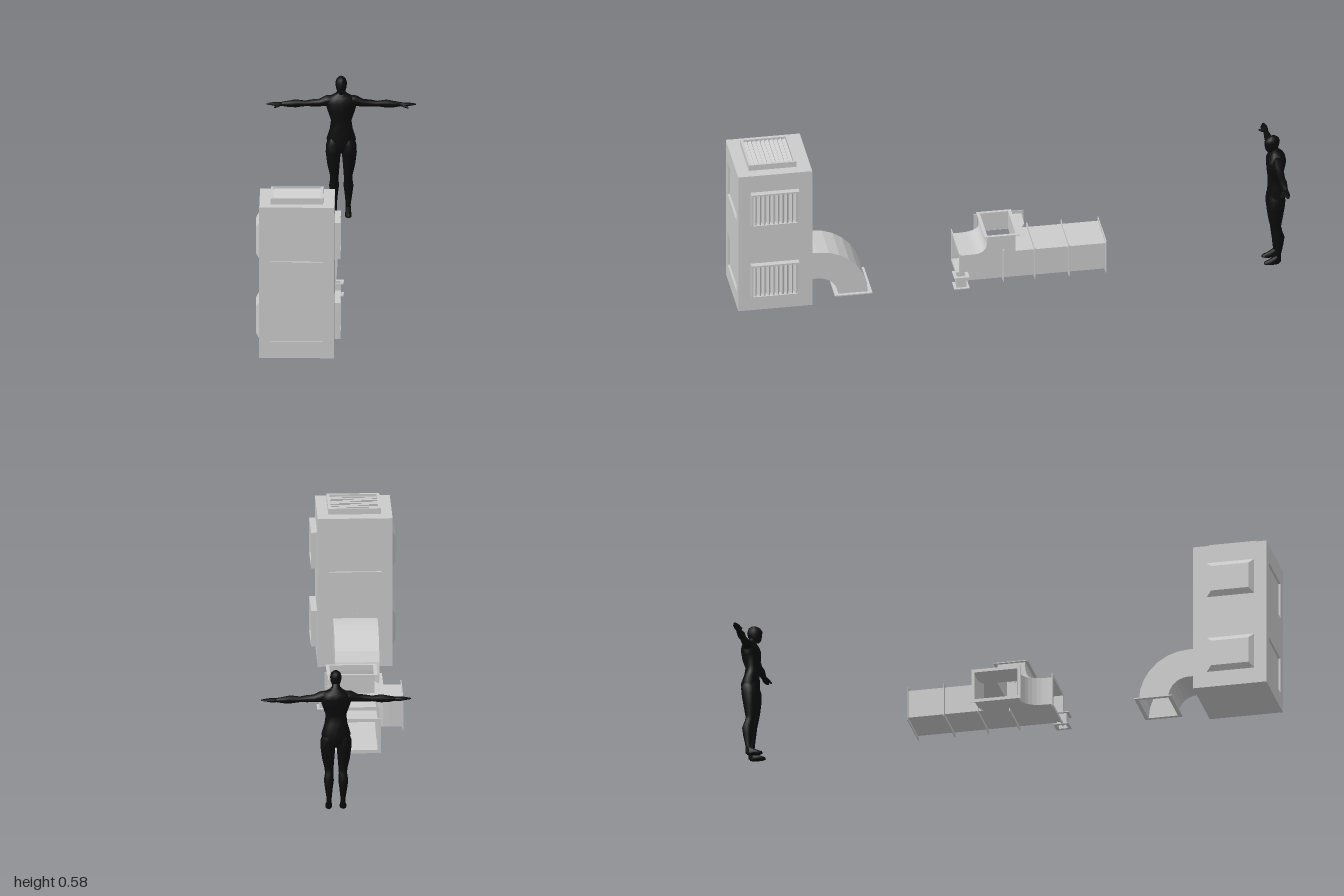
import * as THREE from 'three';

const grey = new THREE.MeshStandardMaterial({ color: 0xcccccc });
const sheetGrey = new THREE.MeshStandardMaterial({ color: 0xcccccc, side: THREE.DoubleSide });
const dark = new THREE.MeshStandardMaterial({ color: 0x0c0c0c });

function add(parent, name, geo, mat = grey, pos = [0, 0, 0]) {
  const m = new THREE.Mesh(geo, mat);
  m.name = name;
  m.position.set(...pos);
  parent.add(m);
  return m;
}

function rect(target, x0, y0, x1, y1) {
  target.moveTo(x0, y0).lineTo(x1, y0).lineTo(x1, y1).lineTo(x0, y1).closePath();
  return target;
}

const box = (parent, name, x0, x1, y0, y1, z0, z1) => add(parent, name,
  new THREE.BoxGeometry(x1 - x0, y1 - y0, z1 - z0), grey, [(x0 + x1) / 2, (y0 + y1) / 2, (z0 + z1) / 2]);

// Rectangular frame, w x h with a border, facing along the given axis
function frame(parent, name, axis, w, h, border, depth, pos) {
  const s = rect(new THREE.Shape(), -w / 2, -h / 2, w / 2, h / 2);
  s.holes.push(rect(new THREE.Path(), border - w / 2, border - h / 2, w / 2 - border, h / 2 - border));
  const g = new THREE.ExtrudeGeometry(s, { depth, bevelEnabled: false }).translate(0, 0, -depth / 2);
  if (axis === 'x') g.rotateY(Math.PI / 2);
  if (axis === 'y') g.rotateX(-Math.PI / 2);
  return add(parent, name, g, grey, pos);
}

// Sheet metal strip: a 2D path swept from a to b, map(u, v, t) gives xyz
function strip(parent, name, pts, a, b, map) {
  const v = [];
  for (let i = 0; i < pts.length - 1; i++) {
    const [p, q] = [pts[i], pts[i + 1]];
    const c = [map(p.x, p.y, a), map(q.x, q.y, a), map(q.x, q.y, b), map(p.x, p.y, b)];
    for (const k of [0, 1, 2, 0, 2, 3]) v.push(...c[k]);
  }
  const g = new THREE.BufferGeometry();
  g.setAttribute('position', new THREE.Float32BufferAttribute(v, 3));
  g.computeVertexNormals();
  add(parent, name, g, sheetGrey);
}

const P = (x, y) => new THREE.Vector2(x, y);
const bend = (a, c, b, n = 6) => new THREE.QuadraticBezierCurve(a, c, b).getPoints(n);
const arc = (cx, r, n = 7) => Array.from({ length: n + 1 }, (_, i) =>
  P(cx - r * Math.sin(i / n * Math.PI / 2), r * Math.cos(i / n * Math.PI / 2)));

function makeCabinet() {
  const g = new THREE.Group();
  g.name = 'cabinet';
  box(g, 'cabinetCore', -0.265, 0.005, 0, 0.56, 0.738, 0.992);
  // Front and back skins with recessed panels
  for (const [name, z, rows] of [['frontSkin', 0.992, [0.06, 0.357]], ['backSkin', 0.73, [0.357]]]) {
    const s = rect(new THREE.Shape(), -0.265, 0, 0.005, 0.56);
    for (const y of rows) s.holes.push(rect(new THREE.Path(), -0.225, y, -0.035, y + 0.135));
    add(g, name, new THREE.ExtrudeGeometry(s, { depth: 0.008, bevelEnabled: false }), grey, [0, 0, z]);
  }
  for (const y of [0.1275, 0.4245]) {
    // Louvred vents on the left
    frame(g, 'sideVentFrame', 'x', 0.175, 0.135, 0.006, 0.022, [0.016, y, 0.8675]);
    for (let i = 0; i < 10; i++) {
      const slat = add(g, 'sideVentSlat', new THREE.BoxGeometry(0.016, 0.123, 0.005), grey, [0.015, y, 0.793 + i * 0.0166]);
      slat.rotation.y = 0.5;
    }
    // Tapered covers on the right
    const cover = new THREE.BoxGeometry(0.013, 0.135, 0.175);
    const p = cover.attributes.position;
    for (let i = 0; i < p.count; i++) {
      if (p.getX(i) < 0) p.setXYZ(i, p.getX(i), p.getY(i) * 0.72, p.getZ(i) * 0.79);
    }
    cover.computeVertexNormals();
    add(g, 'sideCover', cover, grey, [-0.2715, y, 0.8675]);
  }
  // Roof grille
  frame(g, 'roofVentFrame', 'y', 0.19, 0.175, 0.01, 0.022, [-0.13, 0.571, 0.8675]);
  for (let i = 0; i < 10; i++) {
    const slat = add(g, 'roofVentSlat', new THREE.BoxGeometry(0.17, 0.004, 0.014), grey, [-0.13, 0.572, 0.797 + i * 0.0157]);
    slat.rotation.x = 0.5;
  }
  return g;
}

function makeElbow() {
  const g = new THREE.Group();
  g.name = 'elbowDuct';
  const [x0, x1] = [-0.21, -0.05];
  const outer = [P(0.73, 0.183), ...arc(0.7, 0.183)];
  const inner = [P(0.73, 0.075), ...arc(0.7, 0.075)];
  const toX = (z, y, x) => [x, y, z];
  strip(g, 'elbowOuterWall', outer, x0, x1, toX);
  strip(g, 'elbowInnerWall', inner, x0, x1, toX);
  const side = new THREE.ShapeGeometry(new THREE.Shape([...outer, ...inner.slice().reverse()])).rotateY(-Math.PI / 2);
  for (const x of [x0, x1]) add(g, 'elbowSide', side, sheetGrey, [x, 0, 0]);
  frame(g, 'elbowFlange', 'y', 0.185, 0.137, 0.014, 0.004, [-0.13, 0.002, 0.571]);
  // Bolt rows on the cabinet wall
  for (let i = 0; i < 8; i++) {
    for (const y of [0.198, 0.062]) {
      const bolt = new THREE.CylinderGeometry(0.0025, 0.0025, 0.003, 6).rotateX(Math.PI / 2);
      add(g, 'bolt', bolt, grey, [-0.2 + i * 0.02, y, 0.729]);
    }
  }
  return g;
}

function makeDuct() {
  const g = new THREE.Group();
  g.name = 'branchingDuct';
  const [y0, y1] = [0.037, 0.143];
  // Plan walls, as (x, z) paths
  const left = [P(-0.01, -0.345), P(-0.01, 0.19)];
  const sweep = [P(-0.17, 0.19), ...bend(P(-0.17, 0.17), P(-0.17, 0.08), P(-0.24, 0.08), 8), P(-0.27, 0.08)];
  const back = [P(-0.27, -0.08), ...bend(P(-0.22, -0.08), P(-0.185, -0.08), P(-0.17, -0.065), 3), P(-0.17, -0.345)];
  for (const wall of [left, sweep, back]) strip(g, 'ductWall', wall, y0, y1, (x, z, y) => [x, y, z]);
  const outline = [...left, ...sweep, ...back];
  const floor = new THREE.ShapeGeometry(new THREE.Shape(outline)).rotateX(Math.PI / 2);
  add(g, 'ductFloor', floor, sheetGrey, [0, y0, 0]);
  const roof = new THREE.Shape(outline);
  roof.holes.push(rect(new THREE.Path(), -0.169, -0.015, -0.011, 0.135));
  add(g, 'ductRoof', new THREE.ShapeGeometry(roof).rotateX(Math.PI / 2), sheetGrey, [0, y1, 0]);

  // Upward branch with a swept front, as (z, y) paths
  const front = [...bend(P(0.138, y1), P(0.088, y1), P(0.088, 0.195), 8), P(0.088, 0.215)];
  const rear = [P(-0.015, 0.215), P(-0.015, y1)];
  for (const wall of [front, rear]) strip(g, 'upperBranchWall', wall, -0.17, -0.01, (z, y, x) => [x, y, z]);
  const cheek = new THREE.ShapeGeometry(new THREE.Shape([...front, ...rear])).rotateY(-Math.PI / 2);
  for (const x of [-0.17, -0.01]) add(g, 'upperBranchSide', cheek, sheetGrey, [x, 0, 0]);

  // Flanges
  for (const z of [0.19, -0.085, -0.21, -0.345]) {
    frame(g, 'ductFlange', 'z', 0.182, 0.13, 0.012, 0.003, [-0.09, 0.09, z]);
  }
  frame(g, 'sideBranchFlange', 'x', 0.182, 0.13, 0.012, 0.003, [-0.27, 0.09, 0.003]);
  frame(g, 'upperBranchFlange', 'y', 0.182, 0.127, 0.012, 0.003, [-0.09, 0.215, 0.0365]);
  box(g, 'seamRib', -0.01, 0.001, 0.025, 0.155, 0.0285, 0.0315);
  box(g, 'seamRib', -0.17, 0.001, 0.025, y0, 0.0285, 0.0315);

  // Small square collar beside the mouth
  frame(g, 'collarTube', 'y', 0.034, 0.036, 0.002, 0.046, [0.003, 0.049, 0.187]);
  for (const y of [0.0265, 0.0715]) frame(g, 'collarFlange', 'y', 0.052, 0.056, 0.011, 0.003, [0.003, y, 0.187]);
  return g;
}

// Body part from elliptical rings [along, offset, z, ru, rz], along y or x
function loft(parent, name, rings, axis = 'y', mirror = 1) {
  const n = 12, v = [], idx = [];
  for (const [t, o, z, ru, rz] of rings) {
    for (let k = 0; k < n; k++) {
      const a = k / n * Math.PI * 2, u = o + Math.cos(a) * ru, w = z + Math.sin(a) * rz;
      v.push(...(axis === 'y' ? [u * mirror, t, w] : [t * mirror, u, w]));
    }
  }
  for (let r = 0; r < rings.length - 1; r++) {
    for (let k = 0; k < n; k++) {
      const a = r * n + k, b = r * n + (k + 1) % n;
      idx.push(a, a + n, b, b, a + n, b + n);
    }
  }
  for (let k = 1; k < n - 1; k++) {
    const e = (rings.length - 1) * n;
    idx.push(0, k, k + 1, e, e + k + 1, e + k);
  }
  if ((axis === 'x') !== (mirror < 0)) idx.reverse();
  const g = new THREE.BufferGeometry();
  g.setAttribute('position', new THREE.Float32BufferAttribute(v, 3));
  g.setIndex(idx);
  g.computeVertexNormals();
  add(parent, name, g, dark);
}

function makeFigure() {
  const g = new THREE.Group();
  g.name = 'scaleFigure';
  g.position.set(0.005, 0, -0.96);
  loft(g, 'torso', [[0.255, 0, 0, 0.012, 0.015], [0.275, 0, -0.004, 0.045, 0.03], [0.305, 0, -0.006, 0.053, 0.034],
    [0.345, 0, 0, 0.041, 0.027], [0.375, 0, 0.002, 0.037, 0.025], [0.41, 0, -0.002, 0.049, 0.033],
    [0.44, 0, -0.004, 0.058, 0.036], [0.46, 0, -0.006, 0.05, 0.03], [0.472, 0, -0.004, 0.025, 0.02],
    [0.482, 0, 0, 0.014, 0.015], [0.495, 0, 0.004, 0.013, 0.014]]);
  loft(g, 'head', [[0.476, 0, 0.02, 0.007, 0.008], [0.484, 0, 0.016, 0.014, 0.018], [0.5, 0, 0.011, 0.019, 0.026],
    [0.517, 0, 0.01, 0.021, 0.028], [0.531, 0, 0.008, 0.017, 0.022], [0.539, 0, 0.006, 0.007, 0.01]]);
  for (const s of [1, -1]) {
    loft(g, 'arm', [[0.03, 0.45, -0.005, 0.018, 0.02], [0.055, 0.446, -0.004, 0.02, 0.02], [0.08, 0.439, -0.003, 0.014, 0.015],
      [0.105, 0.438, -0.003, 0.013, 0.014], [0.13, 0.436, -0.003, 0.01, 0.012], [0.163, 0.436, -0.003, 0.015, 0.014],
      [0.19, 0.434, -0.003, 0.012, 0.011], [0.216, 0.434, -0.003, 0.007, 0.009]], 'x', s);
    loft(g, 'hand', [[0.212, 0.434, -0.003, 0.007, 0.009], [0.23, 0.433, -0.001, 0.008, 0.013],
      [0.248, 0.434, -0.002, 0.005, 0.012], [0.27, 0.434, -0.003, 0.002, 0.004]], 'x', s);
    loft(g, 'thumb', [[0.222, 0.431, 0.008, 0.005, 0.005], [0.242, 0.425, 0.016, 0.003, 0.003]], 'x', s);
    loft(g, 'leg', [[0.028, 0.025, -0.006, 0.01, 0.012], [0.06, 0.025, -0.008, 0.009, 0.011], [0.1, 0.026, -0.01, 0.014, 0.017],
      [0.13, 0.026, -0.01, 0.018, 0.021], [0.155, 0.025, -0.004, 0.015, 0.018], [0.172, 0.025, 0, 0.016, 0.018],
      [0.21, 0.028, 0, 0.022, 0.024], [0.255, 0.029, -0.001, 0.027, 0.03], [0.285, 0.029, -0.003, 0.026, 0.031],
      [0.315, 0.025, -0.003, 0.018, 0.022]], 'y', s);
    loft(g, 'foot', [[0.022, 0.026, 0.016, 0.012, 0.029], [0.03, 0.026, 0.014, 0.012, 0.029],
      [0.038, 0.025, 0.005, 0.01, 0.02], [0.052, 0.025, -0.007, 0.009, 0.011]], 'y', s);
  }
  return g;
}

export function createModel() {
  const model = new THREE.Group();
  model.name = 'ventilationSet';
  model.add(makeCabinet(), makeElbow(), makeDuct(), makeFigure());
  return model;
}
